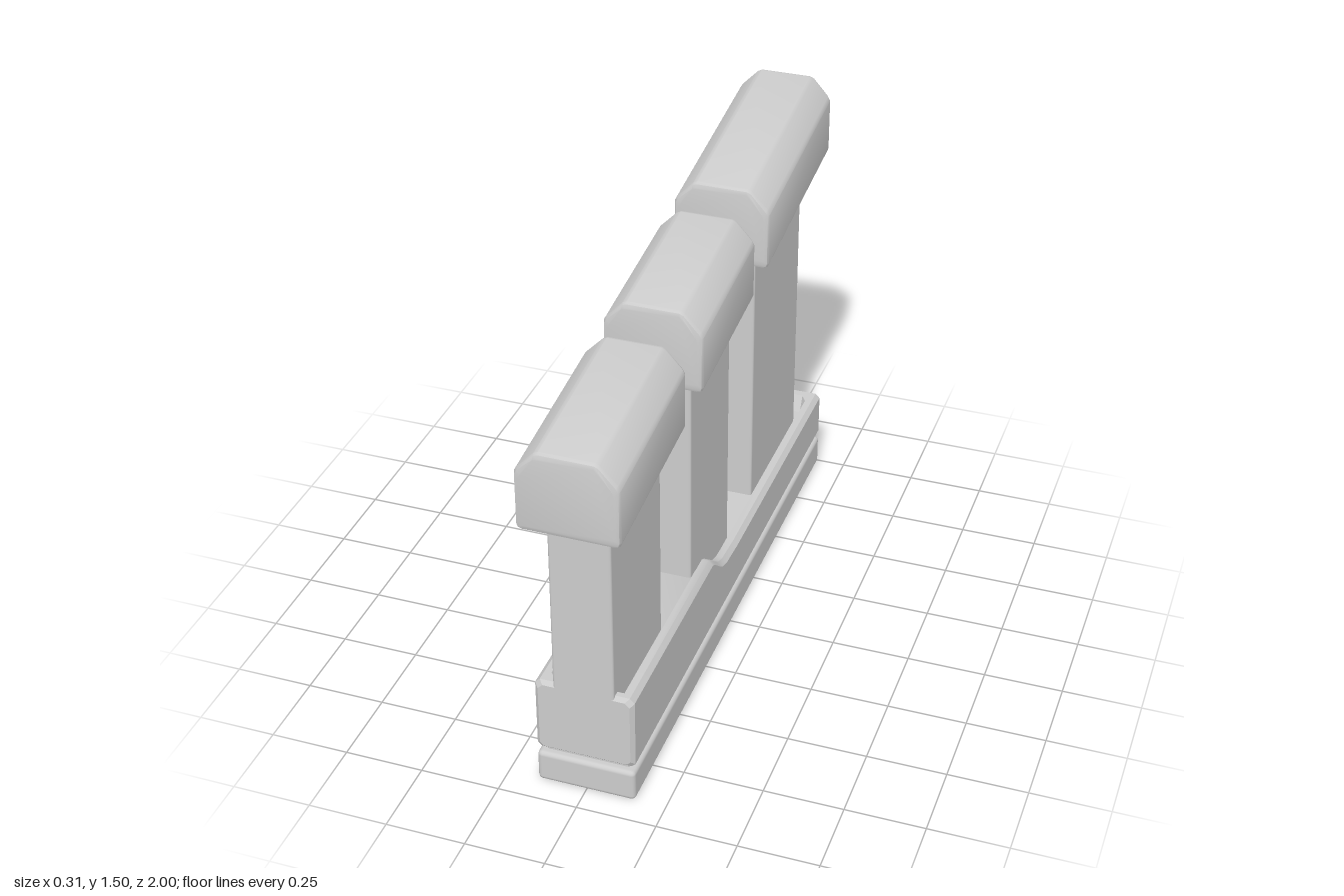
import * as THREE from 'three';
import { toCreasedNormals } from 'three/addons/utils/BufferGeometryUtils.js';
import { RoundedBoxGeometry } from 'three/addons/geometries/RoundedBoxGeometry.js';

const material = new THREE.MeshStandardMaterial({ color: 0xcccccc });
const HALF = 0.155;

// Mirror a right-hand half outline (bottom to top) into a closed ring
const mirrorRing = (half) => [...half, ...half.map(([x, y]) => [-x, y]).reverse()];

// Skin a list of { z, ring } sections, running from front (+z) to back, with closed ends
function loft(sections) {
  const pos = [];
  const tri = (...points) => points.forEach((p) => pos.push(...p));
  const at = (s, j) => {
    const [x, y] = s.ring[j % s.ring.length];
    return [x, y, s.z];
  };
  for (let i = 0; i < sections.length - 1; i++) {
    const f = sections[i], b = sections[i + 1];
    for (let j = 0; j < f.ring.length; j++) {
      tri(at(f, j), at(b, j), at(b, j + 1));
      tri(at(f, j), at(b, j + 1), at(f, j + 1));
    }
  }
  const first = sections[0], last = sections[sections.length - 1];
  const faces = (s) => THREE.ShapeUtils.triangulateShape(s.ring.map(([x, y]) => new THREE.Vector2(x, y)), []);
  for (const [a, b, c] of faces(first)) tri(at(first, a), at(first, b), at(first, c));
  for (const [a, b, c] of faces(last)) tri(at(last, c), at(last, b), at(last, a));
  const geometry = new THREE.BufferGeometry();
  geometry.setAttribute('position', new THREE.Float32BufferAttribute(pos, 3));
  return toCreasedNormals(geometry, 0.5);
}

// Box given by its limits, with softened edges
function block(name, halfX, y0, y1, zFront, zBack, radius) {
  const geometry = new RoundedBoxGeometry(halfX * 2, y1 - y0, zFront - zBack, 2, radius);
  const mesh = new THREE.Mesh(geometry, material);
  mesh.name = name;
  mesh.position.set(0, (y0 + y1) / 2, (zFront + zBack) / 2);
  return mesh;
}

// Stepped base: a shallow tray whose rim drops from the high front to the low back
function base() {
  const section = (z, top, depth, inset = 0) => {
    const w = HALF - inset, t = top - inset, b = 0.125 + inset;
    return {
      z,
      ring: mirrorRing([
        [w - 0.012, b], [w, b + 0.012], [w, t - 0.015], [w - 0.015, t],
        [0.118, t], [0.1, t - depth],
      ]),
    };
  };
  const mesh = new THREE.Mesh(loft([
    section(0.92, 0.38, 0, 0.012),
    section(0.908, 0.38, 0),
    section(0.89, 0.38, 0),
    section(0.87, 0.38, 0.05),
    section(0.2, 0.38, 0.05),
    section(0.18, 0.37, 0.05),
    section(0.13, 0.328, 0.05),
    section(0.1, 0.308, 0.05),
    section(0.06, 0.295, 0.05),
    section(-0.05, 0.288, 0.05),
    section(-0.93, 0.288, 0.05),
    section(-0.96, 0.288, 0),
    section(-0.988, 0.288, 0),
    section(-1, 0.288, 0, 0.012),
  ]), material);
  mesh.name = 'steppedBase';
  return mesh;
}

// Sloping cap with chamfered shoulders and upright ends
function cap(zFront, zBack, bottomFront, bottomBack) {
  const section = (z, inset) => {
    const k = (zFront - z) / (zFront - zBack);
    const y = bottomFront + (bottomBack - bottomFront) * k;
    const w = HALF - inset, b = y + inset, t = y + 0.262 - inset;
    return {
      z,
      ring: mirrorRing([
        [w - 0.015, b], [w - 0.004, b + 0.004], [w, b + 0.015],
        [w, t - 0.075], [w - 0.008, t - 0.06], [0.095, t - 0.006], [0.082, t],
      ]),
    };
  };
  const mesh = new THREE.Mesh(loft([
    section(zFront, 0.014),
    section(zFront - 0.004, 0.004),
    section(zFront - 0.014, 0),
    section(zBack + 0.014, 0),
    section(zBack + 0.004, 0.004),
    section(zBack, 0.014),
  ]), material);
  mesh.name = 'cap';
  return mesh;
}

export function createModel() {
  const model = new THREE.Group();
  model.name = 'steppedRailing';

  model.add(
    block('plinth', HALF, 0, 0.107, 0.92, -1, 0.015),
    block('recessedNeck', 0.13, 0.09, 0.14, 0.895, -0.975, 0.005),
    base(),
  );

  // Three posts, each carrying a cap that rises to the back
  const posts = [
    { pillar: [0.92, 0.51], cap: [1, 0.45, 0.973, 1.037] },
    { pillar: [0.24, -0.13], cap: [0.31, -0.19, 1.062, 1.122] },
    { pillar: [-0.38, -0.875], cap: [-0.32, -1, 1.145, 1.243] },
  ];
  for (const post of posts) {
    const group = new THREE.Group();
    group.name = 'post';
    const [zFront, zBack] = post.pillar;
    group.add(block('pillar', 0.095, 0.2, post.cap[3] + 0.05, zFront, zBack, 0.008), cap(...post.cap));
    model.add(group);
  }
  return model;
}
